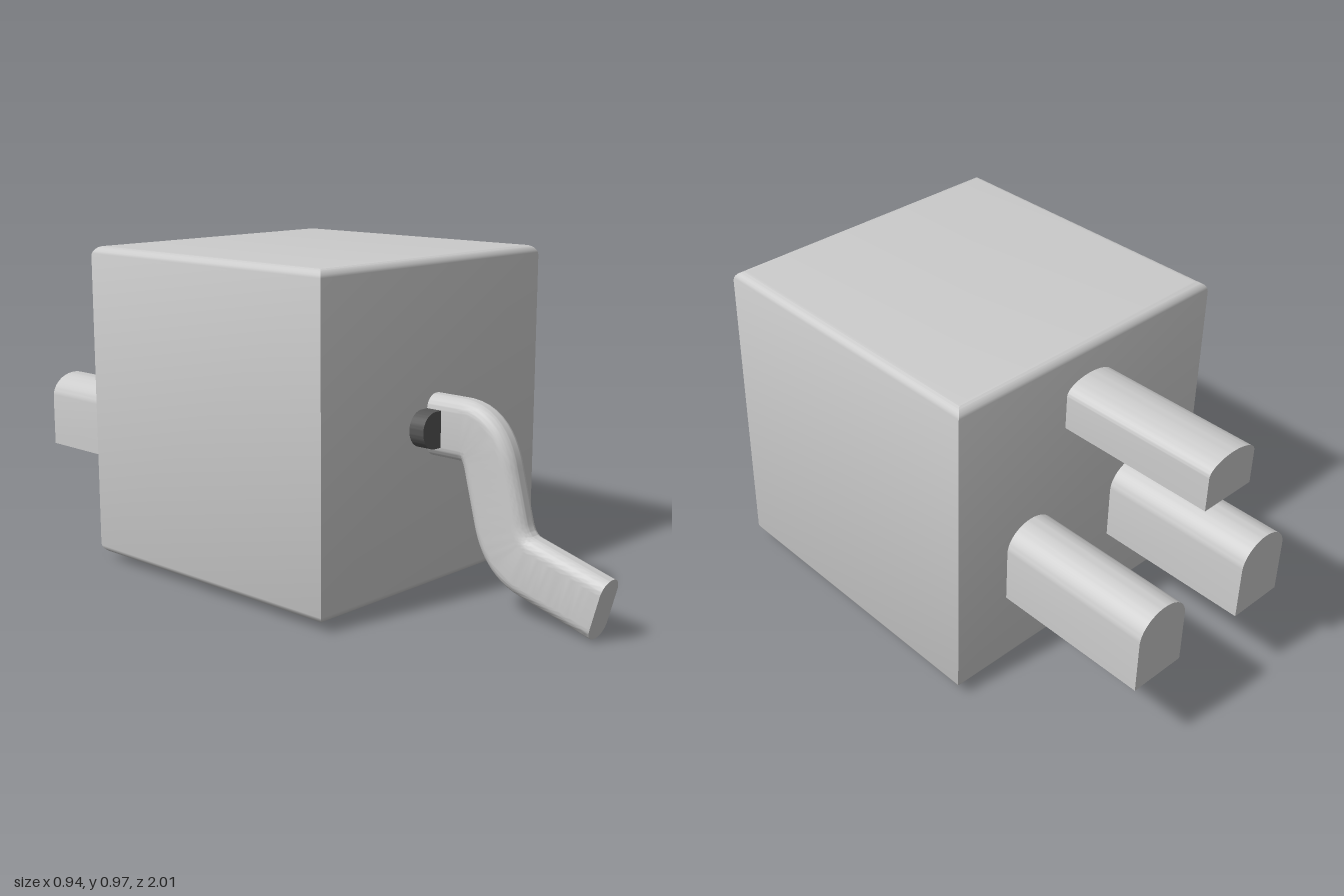
import * as THREE from 'three';
import { toCreasedNormals } from 'three/addons/utils/BufferGeometryUtils.js';

const grey = new THREE.MeshStandardMaterial({ color: 0xcccccc });
const dark = new THREE.MeshStandardMaterial({ color: 0x555555 });

function part(name, geometry, material = grey) {
  const mesh = new THREE.Mesh(toCreasedNormals(geometry, 0.5), material);
  mesh.name = name;
  return mesh;
}

// Rectangle with rounded corners, centred on the origin
function roundedRect(w, h, r) {
  const x = w / 2 - r, y = h / 2 - r;
  const s = new THREE.Shape();
  s.absarc(x, y, r, 0, Math.PI / 2);
  s.absarc(-x, y, r, Math.PI / 2, Math.PI);
  s.absarc(-x, -y, r, Math.PI, Math.PI * 1.5);
  s.absarc(x, -y, r, Math.PI * 1.5, Math.PI * 2);
  s.closePath();
  return s;
}

// Block with sharp upright edges and rounded, mitred top and bottom rims
function bodyGeometry(w, h, d, r) {
  const n = 6, rows = 2 * n + 1;
  const geo = new THREE.BoxGeometry(w, h, d, 1, rows, 1);
  const p = geo.attributes.position;
  for (let i = 0; i < p.count; i++) {
    const row = Math.round((p.getY(i) / h + 0.5) * rows);
    const top = row > n;
    const a = ((top ? rows - row : row) / n) * Math.PI / 2;
    const rise = r * (1 - Math.cos(a)), inset = r * (1 - Math.sin(a));
    p.setXYZ(i,
      Math.sign(p.getX(i)) * (w / 2 - inset),
      top ? h - rise : rise,
      Math.sign(p.getZ(i)) * (d / 2 - inset));
  }
  return geo;
}

// Pin with a flat bottom and an arched top, running backwards
function pin(name, x, bottom, shoulder, top) {
  const hw = 0.0875;
  const s = new THREE.Shape();
  s.moveTo(-hw, bottom);
  s.lineTo(hw, bottom);
  s.lineTo(hw, shoulder);
  s.absellipse(0, shoulder, hw, top - shoulder, 0, Math.PI, false, 0);
  s.closePath();
  const geo = new THREE.ExtrudeGeometry(s, { depth: 0.48, bevelEnabled: false, curveSegments: 16 });
  const mesh = part(name, geo);
  mesh.position.set(x, 0, -1);
  return mesh;
}

export function createModel() {
  const model = new THREE.Group();

  const body = part('body', bodyGeometry(0.945, 0.95, 0.945, 0.03));
  body.position.z = -0.0525;
  model.add(body);

  // Three pins at the back: one upper, two lower
  model.add(pin('upperPin', 0, 0.72, 0.82, 0.86));
  for (const side of [-1, 1]) {
    model.add(pin(side > 0 ? 'leftPin' : 'rightPin', side * 0.205, 0.24, 0.4, 0.475));
  }

  // Collar where the cable leaves the body
  const collar = part('cableCollar', new THREE.ExtrudeGeometry(roundedRect(0.228, 0.106, 0.052),
    { depth: 0.06, bevelEnabled: false, curveSegments: 8 }), dark);
  collar.position.set(-0.004, 0.475, 0.41);
  model.add(collar);

  // Flat cable swept along a drooping path of straights and bends
  const v = (y, z) => new THREE.Vector3(0, y, z);
  const path = new THREE.CurvePath();
  path.add(new THREE.LineCurve3(v(0.477, 0.41), v(0.477, 0.53)));
  path.add(new THREE.QuadraticBezierCurve3(v(0.477, 0.53), v(0.477, 0.605), v(0.375, 0.627)));
  path.add(new THREE.LineCurve3(v(0.375, 0.627), v(0.24, 0.662)));
  path.add(new THREE.QuadraticBezierCurve3(v(0.24, 0.662), v(0.15, 0.684), v(0.13, 0.755)));
  path.add(new THREE.LineCurve3(v(0.13, 0.755), v(0.065, 0.99)));
  model.add(part('cable', new THREE.ExtrudeGeometry(roundedRect(0.18, 0.084, 0.04),
    { steps: 64, extrudePath: path, bevelEnabled: false, curveSegments: 8 })));

  return model;
}
